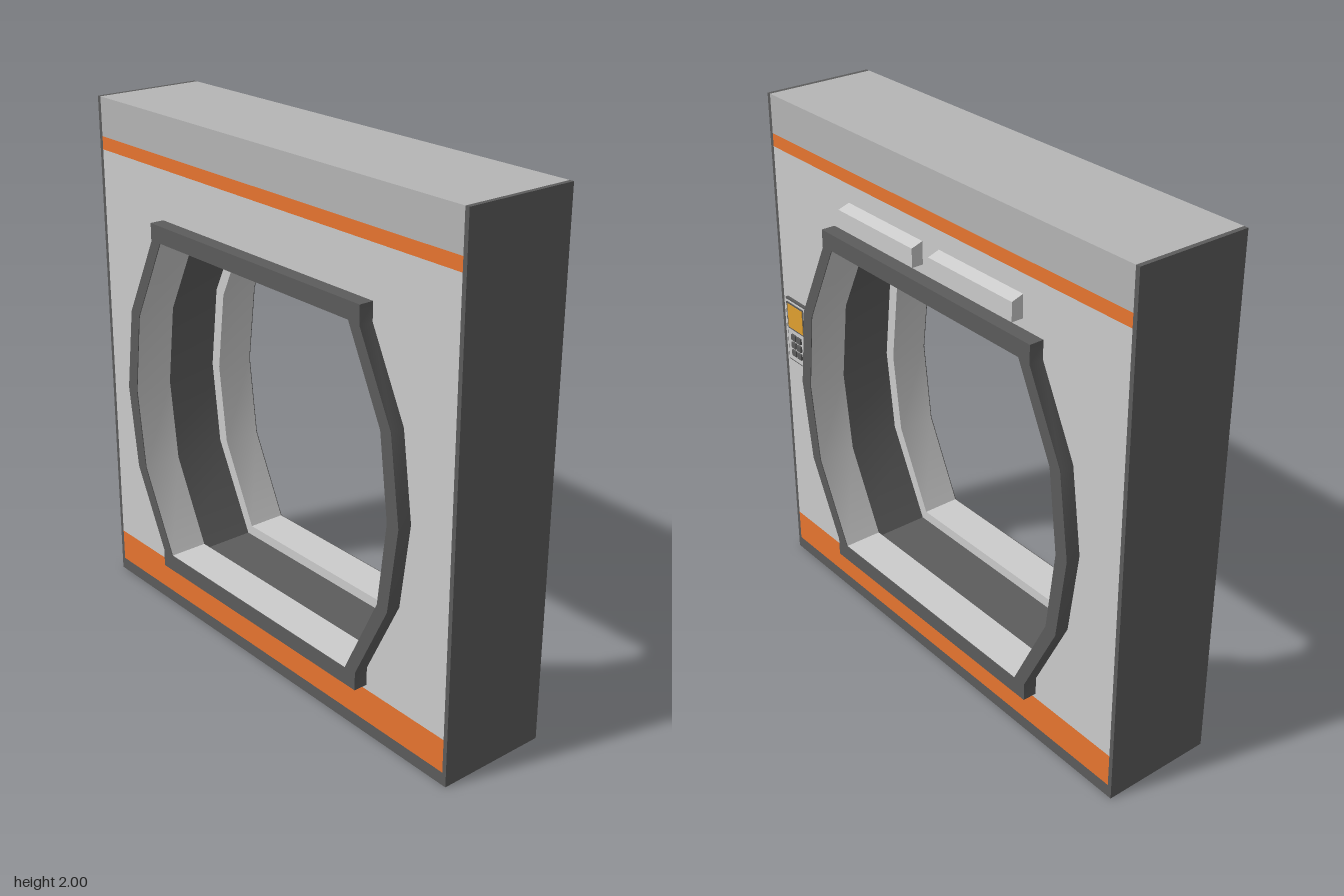
import * as THREE from 'three';
import { toCreasedNormals } from 'three/addons/utils/BufferGeometryUtils.js';

const mat = (color) => new THREE.MeshStandardMaterial({ color });
const grey = mat(0xcccccc), midGrey = mat(0xb5b5b5), dark = mat(0x5c5c5c);
const orange = mat(0xe87530), amber = mat(0xe0a030);

// Closed counter-clockwise outline, mirrored from its +x half listed bottom to top
const mirrored = (half) => [
  ...half.map(([x, y]) => new THREE.Vector2(x, y)),
  ...half.slice().reverse().map(([x, y]) => new THREE.Vector2(-x, y)),
];
const OPENING = mirrored([[0.52, 0.265], [0.68, 0.59], [0.72, 0.905], [0.68, 1.22], [0.52, 1.545]]);
const RECESS = mirrored([[0.545, 0.225], [0.725, 0.58], [0.765, 0.905], [0.725, 1.23], [0.545, 1.585]]);
const TRIM = mirrored([
  [0.575, 0.2], [0.575, 0.27], [0.73, 0.58], [0.775, 0.905], [0.73, 1.23], [0.575, 1.54], [0.575, 1.61],
]);
const WALL = mirrored([[0.96, 0.18], [0.96, 1.8]]);

function add(group, name, geometry, material) {
  const mesh = new THREE.Mesh(geometry, material);
  mesh.name = name;
  group.add(mesh);
  return mesh;
}

// Box given by its limits on each axis
function box(group, name, [x0, x1], [y0, y1], [z0, z1], material) {
  const mesh = add(group, name, new THREE.BoxGeometry(x1 - x0, y1 - y0, z1 - z0), material);
  mesh.position.set((x0 + x1) / 2, (y0 + y1) / 2, (z0 + z1) / 2);
}

// Plate with one hole, extruded between two depths; shallow bends are smoothed
function plate(group, name, outline, hole, z0, z1, material) {
  const shape = new THREE.Shape(outline);
  shape.holes.push(new THREE.Path(hole));
  const geometry = new THREE.ExtrudeGeometry(shape, { depth: z1 - z0, bevelEnabled: false });
  geometry.translate(0, 0, z0);
  add(group, name, toCreasedNormals(geometry, 0.6), material);
}

export function createModel() {
  const model = new THREE.Group();
  model.name = 'doorwayModule';
  const depth = [-0.22, 0.22], width = [-0.96, 0.96];

  // Wall body in horizontal bands; the tunnel lining is the dark hole wall
  box(model, 'base', width, [0, 0.05], depth, dark);
  box(model, 'lowerStripe', width, [0.05, 0.18], depth, orange);
  plate(model, 'wall', WALL, RECESS, -0.22, 0.22, [grey, dark]);
  box(model, 'upperStripe', width, [1.8, 1.85], depth, orange);
  box(model, 'topBand', width, [1.85, 2], depth, midGrey);
  box(model, 'leftSidePanel', [0.96, 0.977], [0, 2], depth, dark);
  box(model, 'rightSidePanel', [-0.977, -0.96], [0, 2], depth, dark);

  // Door surround on both faces: light inner ring, dark outer trim and face
  for (const side of ['front', 'back']) {
    const surround = new THREE.Group();
    surround.name = side + 'Surround';
    plate(surround, 'innerRing', RECESS, OPENING, 0.12, 0.272, grey);
    plate(surround, 'trim', TRIM, RECESS, 0.22, 0.272, dark);
    plate(surround, 'trimFace', TRIM, OPENING, 0.272, 0.275, dark);
    if (side === 'back') surround.rotation.y = Math.PI;
    model.add(surround);
  }

  // Two lamps above the back opening, with a sloped top
  const lampProfile = new THREE.Shape([
    [0.22, 1.645], [0.265, 1.645], [0.265, 1.715], [0.22, 1.73],
  ].map(([z, y]) => new THREE.Vector2(z, y)));
  for (const x of [0.045, -0.475]) {
    const geometry = new THREE.ExtrudeGeometry(lampProfile, { depth: 0.43, bevelEnabled: false });
    geometry.rotateY(Math.PI / 2);
    const lamp = add(model, x > 0 ? 'leftLamp' : 'rightLamp', geometry, grey);
    lamp.position.x = x;
  }

  // Control panel on the back, beside the opening
  const panel = new THREE.Group();
  panel.name = 'controlPanel';
  box(panel, 'backPlate', [0.79, 0.93], [0.93, 1.2], [-0.232, -0.219], dark);
  box(panel, 'facePlate', [0.797, 0.923], [0.937, 1.193], [-0.235, -0.23], grey);
  box(panel, 'screenFrame', [0.803, 0.917], [1.073, 1.187], [-0.237, -0.23], dark);
  box(panel, 'screen', [0.81, 0.91], [1.08, 1.18], [-0.239, -0.23], amber);
  for (let row = 0; row < 3; row++) {
    for (const x of [0.842, 0.878]) {
      const y = 0.975 + row * 0.034;
      box(panel, 'button', [x - 0.014, x + 0.014], [y - 0.012, y + 0.012], [-0.243, -0.23], dark);
    }
  }
  model.add(panel);

  return model;
}
